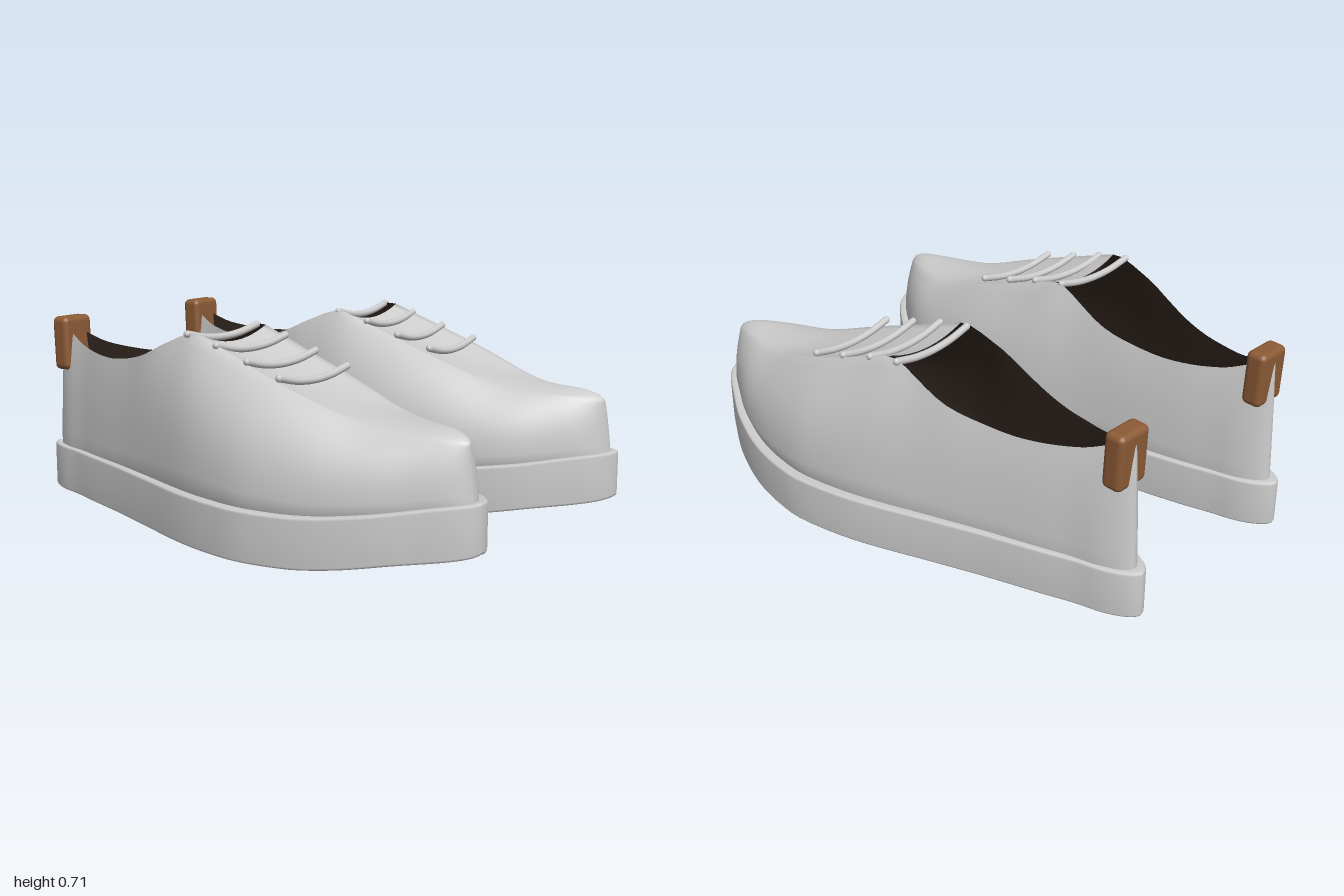
import * as THREE from 'three';
import { RoundedBoxGeometry } from 'three/addons/geometries/RoundedBoxGeometry.js';

const N = 64;        // stations from heel to toe
const THROAT = 31;   // station where the closed vamp begins
const WALL = 14;     // steps up each side wall
const VAMP = 16;     // steps across the vamp

// Smooth lookup along the shoe; spaced by angle so the tips come out round
function profile(points) {
  const k = points.map(([z, v]) => [Math.acos(-z), v]);
  const slope = i => {
    const a = k[Math.max(i - 1, 0)], b = k[Math.min(i + 1, k.length - 1)];
    return (b[1] - a[1]) / (b[0] - a[0]);
  };
  return t => {
    let i = 0;
    while (i < k.length - 2 && t > k[i + 1][0]) i++;
    const h = k[i + 1][0] - k[i][0], u = (t - k[i][0]) / h;
    const u2 = u * u, u3 = u2 * u;
    return k[i][1] * (2 * u3 - 3 * u2 + 1) + k[i + 1][1] * (3 * u2 - 2 * u3)
      + h * (slope(i) * (u3 - 2 * u2 + u) + slope(i + 1) * (u3 - u2));
  };
}

const centre = profile([[-1, .372], [-.8, .371], [-.5, .384], [-.3, .399], [0, .417], [.25, .43],
  [.5, .434], [.7, .435], [.85, .442], [.95, .452], [1, .465]]);
const halfWidth = profile([[-1, 0], [-.9, .08], [-.8, .105], [-.7, .135], [-.5, .188], [-.3, .242],
  [0, .328], [.2, .357], [.3, .358], [.5, .325], [.7, .255], [.85, .165], [.95, .09], [1, 0]]);
const soleTop = profile([[-1, .175], [0, .175], [.4, .175], [.55, .182], [.7, .2], [.9, .232], [1, .247]]);
const soleBottom = profile([[-1, 0], [0, 0], [.45, .003], [.6, .016], [.8, .046], [1, .08]]);
const rimWidth = profile([[-1, 0], [-.9, .04], [-.8, .07], [-.7, .1], [-.5, .145], [-.3, .184],
  [-.1, .174], [.05, .175], [.32, .175], [.5, .158], [.7, .125], [.9, .07], [1, 0]]);
const rimHeight = profile([[-1, .645], [-.93, .615], [-.82, .575], [-.63, .555], [-.5, .565], [-.35, .598],
  [-.2, .66], [-.08, .696], [.05, .658], [.19, .61], [.32, .566], [.5, .505], [.6, .472], [.7, .452],
  [.9, .438], [1, .41]]);
const ridgeHeight = profile([[-1, .645], [-.1, .662], [.05, .622], [.3, .545], [.5, .495], [.6, .478],
  [.75, .466], [.92, .458], [1, .42]]);

// Surface through one row of points per station
function loft(section, { side, wrap = false, skip = () => false }) {
  const rows = Array.from({ length: N + 1 }, (_, i) => section(Math.PI * i / N));
  const cols = rows[0].length, index = [];
  for (let i = 0; i < N; i++) {
    for (let j = 0; j < (wrap ? cols : cols - 1); j++) {
      if (skip(i, j)) continue;
      const a = i * cols + j, c = i * cols + (j + 1) % cols, b = a + cols, d = c + cols;
      if (side > 0) index.push(a, b, c, c, b, d);
      else index.push(a, c, b, c, d, b);
    }
  }
  const g = new THREE.BufferGeometry();
  const pos = rows.flat().flatMap(([x, y, z]) => [x * side, y, z]);
  g.setAttribute('position', new THREE.Float32BufferAttribute(pos, 3));
  g.setIndex(index);
  g.computeVertexNormals();
  return g;
}

// Sole slab section with slightly softened edges
function soleSection(t) {
  const z = -Math.cos(t), c = centre(t), w = halfWidth(t), lo = soleBottom(t), hi = soleTop(t);
  const half = [[.02, lo], [.005, lo + .002], [0, lo + .01], [0, (lo + hi) / 2],
    [0, hi - .009], [.004, hi - .002], [.016, hi]];
  const at = s => ([inset, y]) => [c + s * Math.max(w - inset, 0), y, z * (1 - inset * .6)];
  return [...half.map(at(-1)), ...half.map(at(1)).reverse()];
}

// Upper section: bulging wall up, across the vamp, wall down; inset gives the lining
function upperSection(inset) {
  return t => {
    const c = centre(t), wr = rimWidth(t), wb = halfWidth(t) * .925;
    const yr = rimHeight(t), yc = ridgeHeight(t), y0 = soleTop(t) - .005 + inset * 2;
    const zAt = f => (-Math.cos(t) * .9675 + .0025) * (1 - .022 * f) * (1 - inset * (1 - f));
    const wall = [];
    for (let j = 0; j <= WALL; j++) {
      const f = j / WALL;
      const tuck = j === 0 ? .97 : 1;
      const w = (wr + (wb - wr) * (1 - f ** 2.8)) * tuck - inset * (1 - f ** 6);
      wall.push([Math.max(w, 0), y0 + (yr - y0) * f, zAt(f)]);
    }
    const vamp = [];
    for (let j = 1; j < VAMP; j++) {
      const u = j / VAMP * 2 - 1;
      vamp.push([c + wr * u, yc + (yr - yc) * u * u - inset * (1 - u * u), zAt(1)]);
    }
    const at = s => ([w, y, z]) => [c + s * w, y, z];
    return [...wall.map(at(-1)), ...vamp, ...wall.map(at(1)).reverse()];
  };
}

const opening = (i, j) => i < THROAT && j >= WALL && j < WALL + VAMP;

function makeShoe(side) {
  const shoe = new THREE.Group();
  shoe.name = side > 0 ? 'leftShoe' : 'rightShoe';
  const grey = new THREE.MeshStandardMaterial({ color: 0xcccccc });
  const brown = new THREE.MeshStandardMaterial({ color: 0x8b5a35 });
  const dark = new THREE.MeshStandardMaterial({ color: 0x30251f, side: THREE.DoubleSide });
  const add = (name, geometry, material) => {
    const mesh = new THREE.Mesh(geometry, material);
    mesh.name = name;
    shoe.add(mesh);
    return mesh;
  };

  add('sole', loft(soleSection, { side, wrap: true }), grey);
  add('upper', loft(upperSection(0), { side, skip: opening }), grey);
  add('lining', loft(upperSection(.012), { side, wrap: true, skip: opening }), dark);

  // Pull tab over the heel
  const tab = add('heelTab', new RoundedBoxGeometry(.14, .205, .078, 4, .022), brown);
  tab.position.set(.372 * side, .573, -.903);
  tab.rotation.x = -.04;

  // Sagging laces across the vamp
  [[-.09, .692, .42], [.043, .664, .422], [.18, .622, .426], [.32, .582, .432]].forEach(([z, y, x], i) => {
    const path = new THREE.CatmullRomCurve3([-1, -.5, 0, .5, 1].map(u =>
      new THREE.Vector3((x + .173 * u) * side, y - .026 * (1 - u * u), z - .01 * u)));
    add('lace' + (i + 1), new THREE.TubeGeometry(path, 16, .013, 10), grey);
    for (const u of [0, 1]) {
      const end = add('laceEnd' + (i + 1), new THREE.SphereGeometry(.013, 10, 8), grey);
      end.position.copy(path.getPoint(u));
    }
  });
  return shoe;
}

export function createModel() {
  const model = new THREE.Group();
  model.name = 'pairOfShoes';
  model.add(makeShoe(1), makeShoe(-1));
  return model;
}
